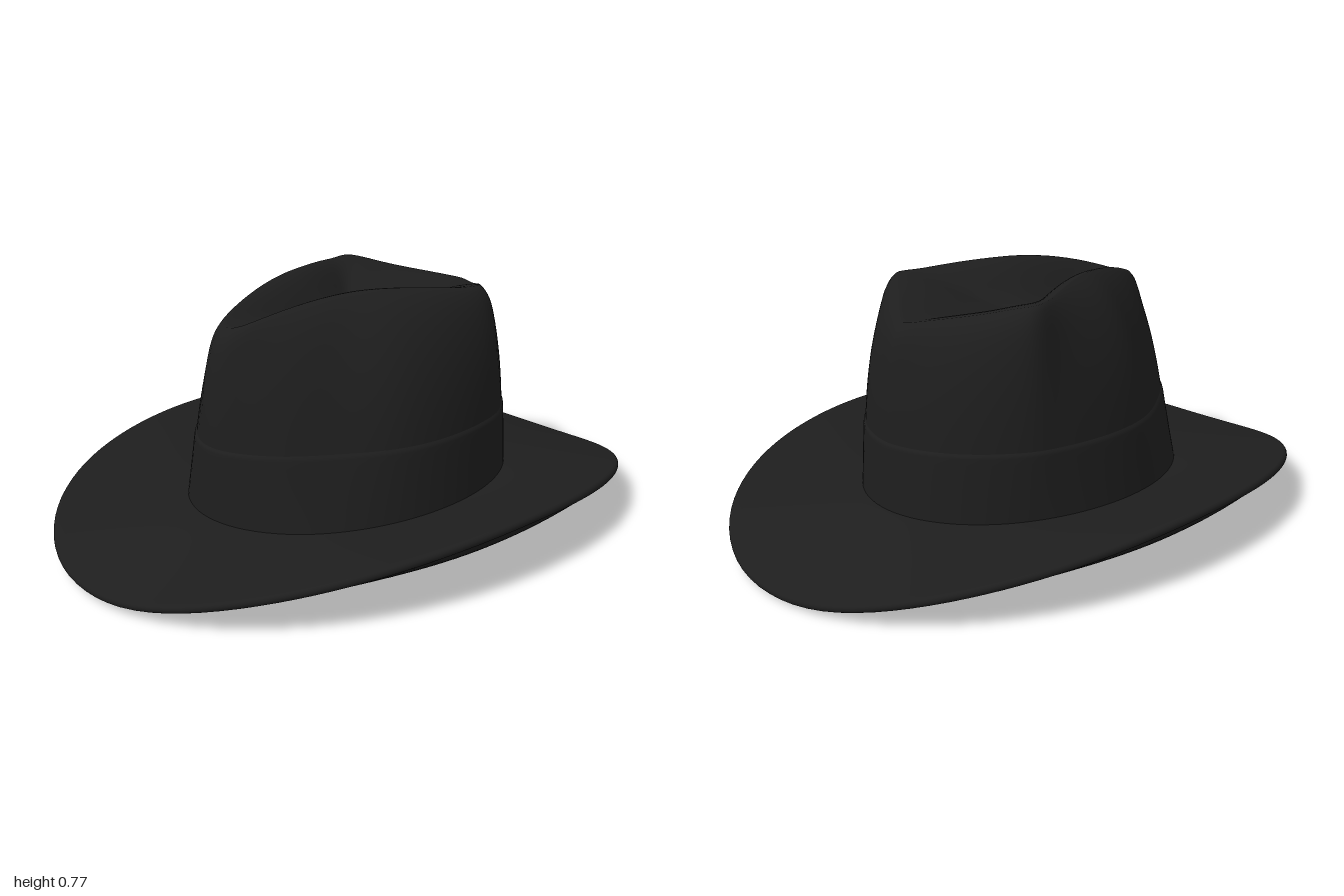
import * as THREE from 'three';

const SEGMENTS = 120;
const mix = (a, b, t) => a + (b - a) * t;
const ellipse = (a, b, th, p = 2) =>
  Math.pow(Math.abs(Math.sin(th) / a) ** p + Math.abs(Math.cos(th) / b) ** p, -1 / p);
const bump = (x, centre, width) => Math.exp(-(((x - centre) / width) ** 2));
const steps = (n, fn) => Array.from({ length: n + 1 }, (_, i) => fn(i / n));

// Angle 0 points to the front (+z), a quarter turn points to +x.
const polar = (r, y, th) => [r * Math.sin(th), y, r * Math.cos(th)];

// Smooth closed surface through rings; each ring is a function of the angle.
function loft(name, rings, material) {
  const pos = [], index = [];
  rings.forEach((ring, i) => {
    for (let j = 0; j < SEGMENTS; j++) {
      pos.push(...ring((j / SEGMENTS) * Math.PI * 2));
      if (i === 0) continue;
      const k = (j + 1) % SEGMENTS, lo = (i - 1) * SEGMENTS, hi = i * SEGMENTS;
      index.push(lo + j, lo + k, hi + k, lo + j, hi + k, hi + j);
    }
  });
  const geo = new THREE.BufferGeometry();
  geo.setAttribute('position', new THREE.Float32BufferAttribute(pos, 3));
  geo.setIndex(index);
  geo.computeVertexNormals();
  const mesh = new THREE.Mesh(geo, material);
  mesh.name = name;
  return mesh;
}

// Height where the crown meets the top of the brim: lowest at the front
const baseY = (th) => 0.135 - 0.007 * Math.cos(th) - 0.005 * Math.cos(th) ** 2;
const baseR = (th) => ellipse(0.438, 0.567, th);

// Kite-shaped ridge around the dented top, blunt at the front
function ridgeR(th) {
  const x = Math.sqrt(Math.sin(th) ** 2 + 0.0015), z = Math.cos(th);
  const planes = [
    (0.936 * x + 0.351 * z) / 0.2264,
    (0.602 * x - 0.799 * z) / 0.427,
    z / 0.515,
  ];
  const sum = planes.reduce((total, p) => total + Math.max(0, p) ** 16, 0);
  return Math.pow(sum, -1 / 16);
}
function ridgeY(th) {
  const z = ridgeR(th) * Math.cos(th);
  const fall = (z > 0.1 ? 0.48 : 0.21) * (z - 0.1) ** 2;
  return 0.782 - fall + 0.012 * bump(z, -0.29, 0.07);
}

// Crown wall: oval at t = 0, kite at t = 1, pinched harder at the front sides
const SHOULDER = 0.025;
function wall(t, th, offset = 0, drop = 0) {
  const side = Math.abs(Math.atan2(Math.sin(th), Math.cos(th)));
  const w = mix(t ** 4, t, 0.33 + 0.3 * bump(side, 0.75, 0.4));
  const r = mix(baseR(th), ridgeR(th), w) - SHOULDER * t ** 22 + offset;
  const y = mix(baseY(th), ridgeY(th), t) - drop;
  return polar(r, y, th);
}

// Dented top: s = 1 on the rounded ridge, s = 0 in the middle
function dent(s, th, offset = 0, drop = 0) {
  const y = mix(0.65, ridgeY(th), 0.5 - 0.5 * Math.cos(Math.PI * s));
  return polar((ridgeR(th) - SHOULDER + offset) * s, y - drop, th);
}

// Brim, thick at the crown (s = 0) and thin at the edge (s = 1)
const HALF = 0.013, UNDER_Y = 0.052;
const outerR = (th) => ellipse(0.758, 1, th, 2.13);
const brimR = (s, th) => mix(baseR(th) - 0.01, outerR(th) - HALF, s);
function edgeY(th) {
  const z = outerR(th) * Math.cos(th);
  return 0.191 - 0.125 * z ** 2 - 0.032 * z ** 8 - (z < 0 ? 0.008 * z * z : 0);
}
const brimTop = (s, th) =>
  polar(brimR(s, th), mix(baseY(th), edgeY(th) + HALF, s ** 1.15), th);
function brimUnder(s, th) {
  const c2 = Math.cos(th) ** 2;
  const sag = 0.014 * c2 * Math.sin(Math.PI * s * s);
  const y = mix(UNDER_Y, edgeY(th) - HALF, s ** (3.2 - 2.2 * c2));
  return polar(brimR(s, th), y - sag, th);
}
const brimEdge = (a, th) =>
  polar(outerR(th) - HALF + HALF * Math.cos(a), edgeY(th) + HALF * Math.sin(a), th);

// Soft turn from the inside of the crown into the underside of the brim
const LINING = 0.02, TURN_T = 0.16, TURN_S = 0.18;
function turn(u, th) {
  const a = wall(TURN_T, th, -LINING, LINING);
  const b = polar(baseR(th) - LINING, UNDER_Y, th);
  const c = brimUnder(TURN_S, th);
  return a.map((v, i) => mix(mix(v, b[i], u), mix(b[i], c[i], u), u));
}

export function createModel() {
  const felt = new THREE.MeshStandardMaterial({ color: 0x1e1e1e });
  felt.name = 'black felt';
  const hat = new THREE.Group();
  hat.name = 'hat';

  // Outer crown: wall, rounded ridge and dented top
  hat.add(loft('crown', [
    ...steps(40, (t) => (th) => wall(t, th)),
    ...steps(18, (u) => (th) => dent(0.96 * (1 - u), th)),
  ], felt));

  // Lining, underside, rounded edge and upper side of the brim
  hat.add(loft('brimAndLining', [
    ...steps(12, (u) => (th) => dent(u * 0.96, th, -LINING, LINING)),
    ...steps(24, (u) => (th) => wall(mix(1, TURN_T, u), th, -LINING, LINING)),
    ...steps(10, (u) => (th) => turn(u, th)).slice(1, -1),
    ...steps(18, (u) => (th) => brimUnder(mix(TURN_S, 1, u), th)),
    ...steps(8, (u) => (th) => brimEdge((u - 0.5) * Math.PI, th)).slice(1, -1),
    ...steps(20, (u) => (th) => brimTop(1 - u, th)),
  ], felt));

  // Band around the foot of the crown, with a small step at its top
  const bandTop = (th) => (0.335 - baseY(th)) / (ridgeY(th) - baseY(th));
  hat.add(loft('band', [
    ...steps(10, (u) => (th) => wall(u * bandTop(th), th, 0.005)),
    (th) => wall(bandTop(th) + 0.015, th, 0.004),
    (th) => wall(bandTop(th) + 0.03, th, -0.003),
  ], felt));

  return hat;
}
